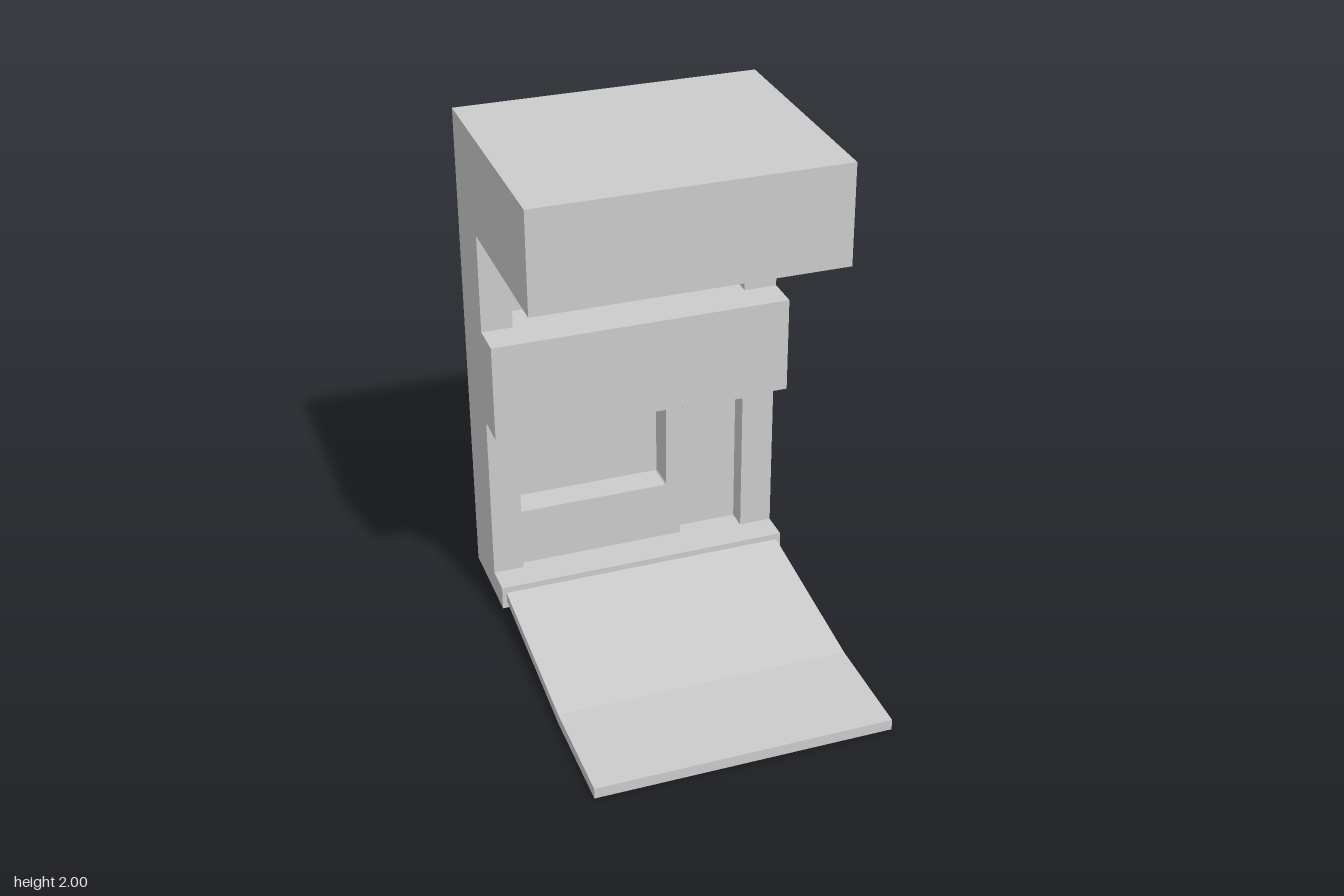
import * as THREE from 'three';

const material = new THREE.MeshStandardMaterial({ color: 0xcccccc, flatShading: true });
const W = 0.585; // half width of the cabinet
const BACK = -0.755, CORE = -0.64, FACE = -0.49; // depth levels of the cabinet

export function createModel() {
  const group = new THREE.Group();

  const add = (name, geometry) => {
    const mesh = new THREE.Mesh(geometry, material);
    mesh.name = name;
    group.add(mesh);
  };

  // Box given by its limits on each axis
  const block = (name, x0, x1, y0, y1, z0, z1) => {
    const g = new THREE.BoxGeometry(x1 - x0, y1 - y0, z1 - z0);
    g.translate((x0 + x1) / 2, (y0 + y1) / 2, (z0 + z1) / 2);
    add(name, g);
  };

  // Closed outline; a third value on a corner rounds it by that radius
  const outline = (points, Type = THREE.Shape) => {
    const path = new Type();
    const v = points.map(([x, y]) => new THREE.Vector2(x, y));
    points.forEach(([x, y, r = 0], i) => {
      const toward = (p) => p.clone().sub(v[i]).setLength(r).add(v[i]);
      const a = r ? toward(v[(i + v.length - 1) % v.length]) : v[i];
      if (i === 0) path.moveTo(a.x, a.y);
      else path.lineTo(a.x, a.y);
      if (r) {
        const b = toward(v[(i + 1) % v.length]);
        path.quadraticCurveTo(x, y, b.x, b.y);
      }
    });
    path.closePath();
    return path;
  };

  const plate = (name, shape, z0, z1) => {
    const g = new THREE.ExtrudeGeometry(shape, { depth: z1 - z0, bevelEnabled: false, curveSegments: 4 });
    g.translate(0, 0, z0);
    add(name, g);
  };

  // Cabinet: back slab and the front frame with its two openings
  block('backSlab', -W, W, 0.055, 2, BACK, CORE);
  const frame = outline([[-W, 0.055], [W, 0.055], [W, 2], [-W, 2]]);
  frame.holes.push(
    outline([[-0.465, 1.22], [-0.465, 1.61], [0.455, 1.61], [0.455, 1.22]], THREE.Path),
    outline([[-0.465, 0.15], [-0.465, 0.835], [0.205, 0.835], [0.205, 0.745],
      [0.455, 0.745, 0.012], [0.455, 0.15]], THREE.Path),
  );
  plate('frontFrame', frame, CORE, FACE);

  // Parts that stand out from the frame
  block('topCanopy', -W, W, 1.61, 2, FACE, 0.19);
  block('middleBand', -W, W, 0.835, 1.22, FACE, -0.355);
  block('bottomSill', -W, W, 0.055, 0.15, FACE, -0.375);

  // Panels set back inside the openings
  block('upperRecessPanel', -0.465, 0.455, 1.22, 1.61, CORE, -0.62);
  block('sideRecessPanel', 0.205, 0.455, 0.15, 0.745, CORE, -0.57);
  plate('windowPanel', outline([[-0.465, 0.15], [0.205, 0.15], [0.205, 0.835], [-0.465, 0.835],
    [-0.465, 0.745], [0.145, 0.745, 0.012], [0.145, 0.39, 0.012], [-0.465, 0.39]]), CORE, -0.52);

  // Ramp: side profile (forward is negative here) swept across the width
  const rampShape = outline([[-0.755, 0], [-0.32, 0], [0.375, 0.085], [0.375, 0.125],
    [-0.32, 0.043], [-0.755, 0.043]]);
  const ramp = new THREE.ExtrudeGeometry(rampShape, { depth: 1.136, bevelEnabled: false });
  ramp.translate(0, 0, -0.568);
  ramp.rotateY(Math.PI / 2);
  add('ramp', ramp);

  return group;
}
